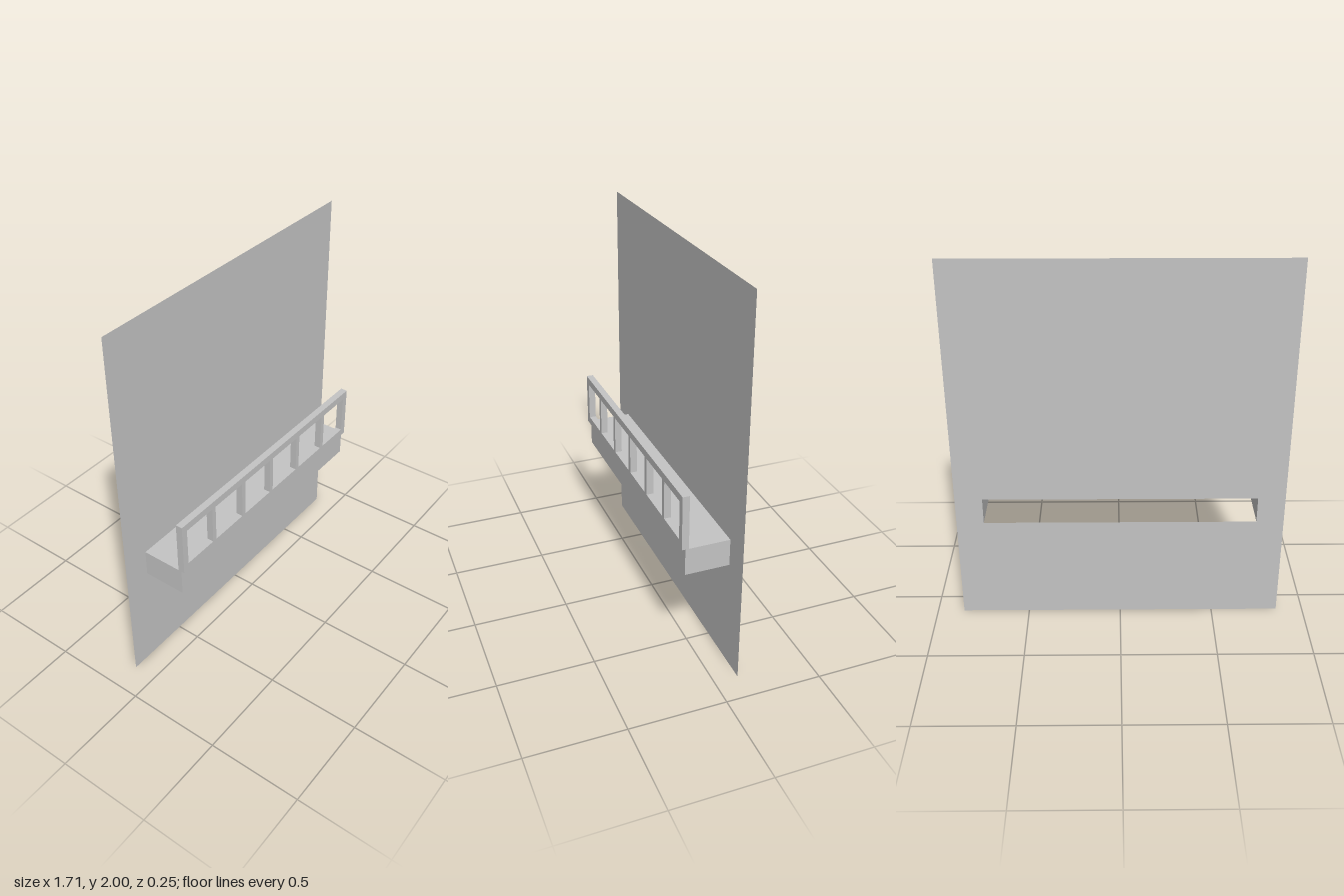
import * as THREE from 'three';

const BACK = -0.124;

function polygon(points) {
  return points.map(([x, y]) => new THREE.Vector2(x, y));
}

function rect(x0, y0, x1, y1) {
  return polygon([[x0, y0], [x1, y0], [x1, y1], [x0, y1]]);
}

export function createModel() {
  const group = new THREE.Group();
  const grey = new THREE.MeshStandardMaterial({ color: 0xc4c4c4, side: THREE.DoubleSide });
  grey.name = 'light grey';

  function add(name, geometry, x = 0, y = 0, z = 0) {
    const mesh = new THREE.Mesh(geometry, grey);
    mesh.name = name;
    mesh.position.set(x, y, z);
    group.add(mesh);
    return mesh;
  }

  // Balcony body: a sleeve open at the back and underneath
  const W = 0.714, floorY = 0.571, topY = 0.714, front = 0.106;
  const depth = front - BACK, height = topY - floorY;
  const midY = (floorY + topY) / 2, midZ = (front + BACK) / 2;

  // Wall sheet, cut out behind the balcony body
  const wall = new THREE.Shape(rect(-0.857, 0, 0.857, 2));
  wall.holes.push(new THREE.Path(rect(-W, floorY, W, topY)));
  add('wall', new THREE.ShapeGeometry(wall), 0, 0, BACK);

  add('balconyFront', new THREE.PlaneGeometry(2 * W, height), 0, midY, front);
  add('balconyTop', new THREE.PlaneGeometry(2 * W, depth), 0, topY, midZ).rotation.x = -Math.PI / 2;
  for (const side of [-1, 1]) {
    add(side > 0 ? 'balconyLeftEnd' : 'balconyRightEnd',
      new THREE.PlaneGeometry(depth, height), side * W, midY, midZ).rotation.y = side * Math.PI / 2;
  }

  // Railing frame with six openings
  const railing = new THREE.Shape(rect(-W, topY, W, 1));
  const pitch = W / 3, post = 0.013, endPost = 0.035;
  for (let i = 0; i < 6; i++) {
    const x0 = -W + i * pitch + (i === 0 ? endPost : post);
    const x1 = -W + (i + 1) * pitch - (i === 5 ? endPost : post);
    railing.holes.push(new THREE.Path(rect(x0, 0.754, x1, 0.96)));
  }
  add('railing', new THREE.ExtrudeGeometry(railing, { depth: 0.036, bevelEnabled: false }), 0, 0, 0.088);

  // Slanted strips lying on the wall
  const strips = [['upperStrip', 1.171, 1.057], ['lowerStrip', 0.743, 0.886]];
  for (const [name, y0, y1] of strips) {
    const strip = new THREE.Shape(polygon([
      [-0.571, y0], [0.571, y1], [0.571, y1 + height], [-0.571, y0 + height],
    ]));
    add(name, new THREE.ShapeGeometry(strip), 0, 0, BACK + 0.007);
  }

  return group;
}
